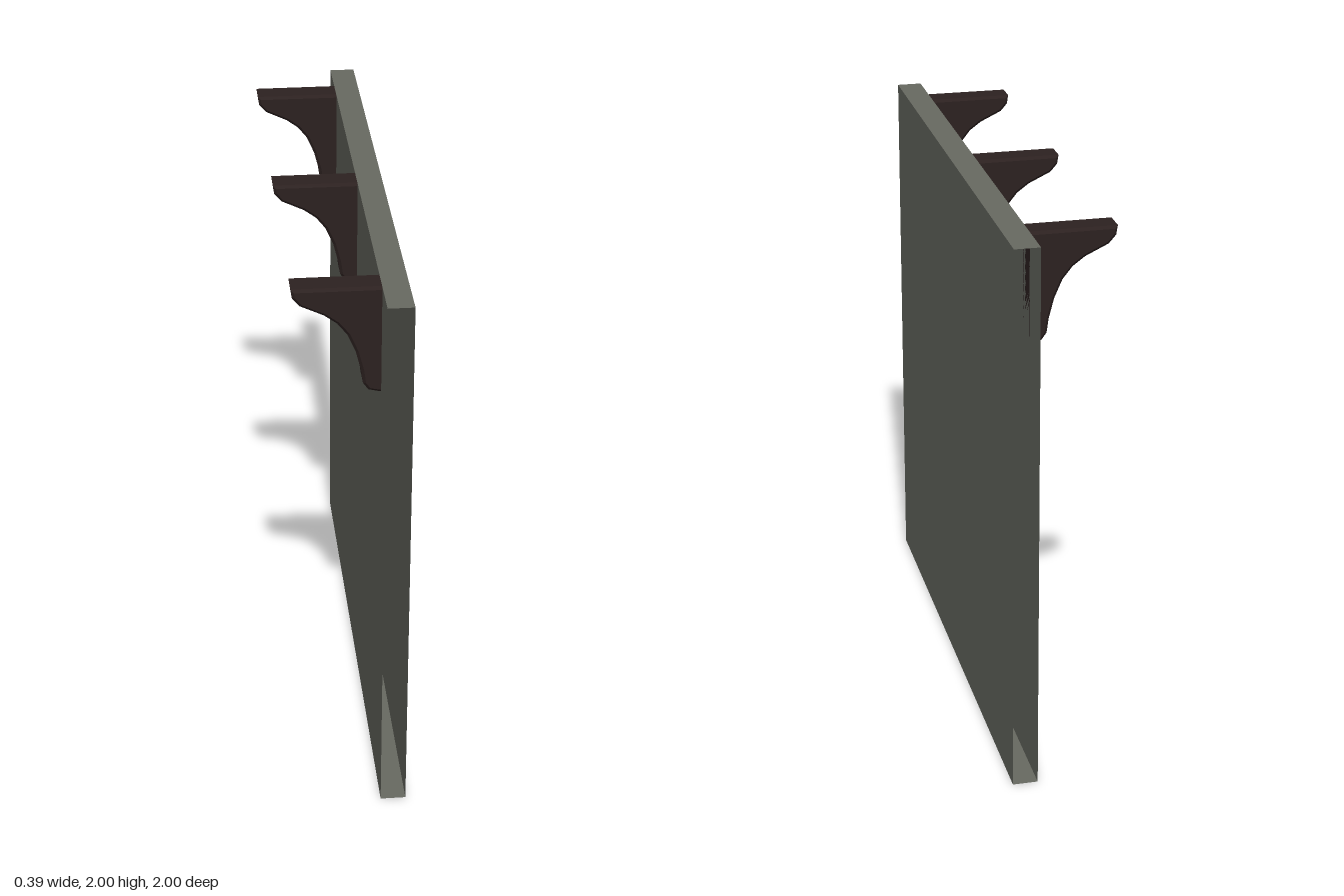
import * as THREE from 'three';

const TOP = 2, WALL_IN = 0.105, WALL_OUT = 0.195;

export function createModel() {
  const model = new THREE.Group();
  model.name = 'bracketedWall';

  const stone = new THREE.MeshStandardMaterial({ color: 0x676961, side: THREE.DoubleSide });
  stone.name = 'grey stone';
  const wood = new THREE.MeshStandardMaterial({ color: 0x2c2120 });
  wood.name = 'dark wood';

  // Hollow wall panel: two faces, a top and a bottom, open at both ends
  const wall = new THREE.Group();
  wall.name = 'wall';
  const thick = WALL_OUT - WALL_IN, mid = (WALL_IN + WALL_OUT) / 2;
  const addPlate = (name, width, height, x, y, rx, ry) => {
    const plate = new THREE.Mesh(new THREE.PlaneGeometry(width, height), stone);
    plate.name = name;
    plate.position.set(x, y, 0);
    plate.rotation.set(rx, ry, 0);
    wall.add(plate);
  };
  addPlate('wallOuterFace', 2, TOP, WALL_OUT, 1, 0, Math.PI / 2);
  addPlate('wallInnerFace', 2, TOP, WALL_IN, 1, 0, -Math.PI / 2);
  addPlate('wallTop', thick, 2, mid, TOP, -Math.PI / 2, 0);
  addPlate('wallBottom', thick, 2, mid, 0, Math.PI / 2, 0);
  model.add(wall);

  // Curved bracket profile with chamfered edges
  const profile = [
    [WALL_IN, 1.605], [WALL_IN, TOP], [-0.195, TOP], [-0.19, 1.967], [-0.165, 1.938],
    [-0.085, 1.9], [-0.042, 1.868], [-0.008, 1.825], [0.02, 1.76], [0.038, 1.69],
    [0.045, 1.64], [0.063, 1.615],
  ];
  const bevel = 0.01, width = 0.1;
  const bracketGeometry = new THREE.ExtrudeGeometry(
    new THREE.Shape(profile.map(([x, y]) => new THREE.Vector2(x, y))),
    {
      depth: width - 2 * bevel, bevelEnabled: true, bevelSegments: 1,
      bevelSize: bevel, bevelThickness: bevel, bevelOffset: -bevel,
    },
  );
  bracketGeometry.translate(0, 0, bevel - width / 2 - 0);
  // Keep the mounting side square against the wall
  const pos = bracketGeometry.attributes.position;
  for (let i = 0; i < pos.count; i++) if (pos.getX(i) > 0.085) pos.setX(i, WALL_IN);
  bracketGeometry.computeVertexNormals();

  ['backBracket', 'middleBracket', 'frontBracket'].forEach((name, i) => {
    const bracket = new THREE.Mesh(bracketGeometry, wood);
    bracket.name = name;
    bracket.position.z = (i - 1) * 0.8;
    model.add(bracket);
  });

  return model;
}
